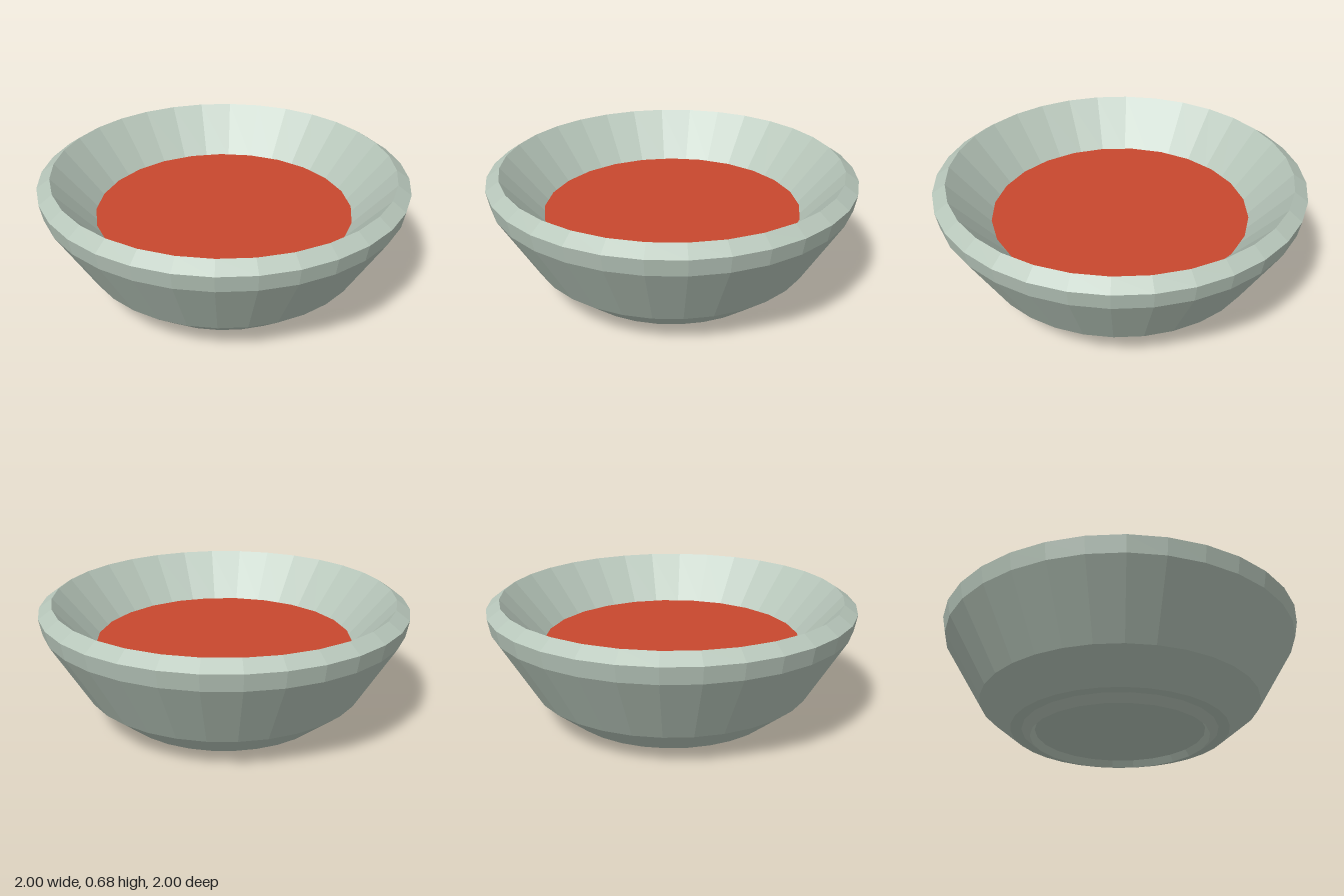
import * as THREE from 'three';

// Faceted solid of revolution from [radius, height] pairs
function turned(name, profile, sides, material) {
  const points = profile.map(([r, y]) => new THREE.Vector2(r, y));
  const geometry = new THREE.LatheGeometry(points, sides).toNonIndexed();
  geometry.computeVertexNormals();
  const mesh = new THREE.Mesh(geometry, material);
  mesh.name = name;
  return mesh;
}

export function createModel() {
  const glaze = new THREE.MeshStandardMaterial({ color: 0xb7c6ba });
  glaze.name = 'pale green glaze';
  const red = new THREE.MeshStandardMaterial({ color: 0xc8482e });
  red.name = 'soup red';

  const model = new THREE.Group();
  model.name = 'bowlOfSoup';

  // Bowl: underside, outer wall, bevelled rim, then the inner wall and floor
  model.add(turned('bowl', [
    [0, 0.036], [0.595, 0.036], [0.77, 0.18], [0.983, 0.54], [1, 0.63],
    [0.928, 0.68], [0.7, 0.42], [0.45, 0.16], [0, 0.13],
  ], 32, glaze));

  // Foot: a low ridge under the bowl
  model.add(turned('footRing', [
    [0.46, 0.04], [0.488, 0], [0.54, 0.04],
  ], 24, glaze));

  // Soup surface with a shallow edge that sinks into the wall
  model.add(turned('soup', [
    [0, 0.41], [0.69, 0.41], [0.706, 0.43], [0, 0.43],
  ], 24, red));

  return model;
}
